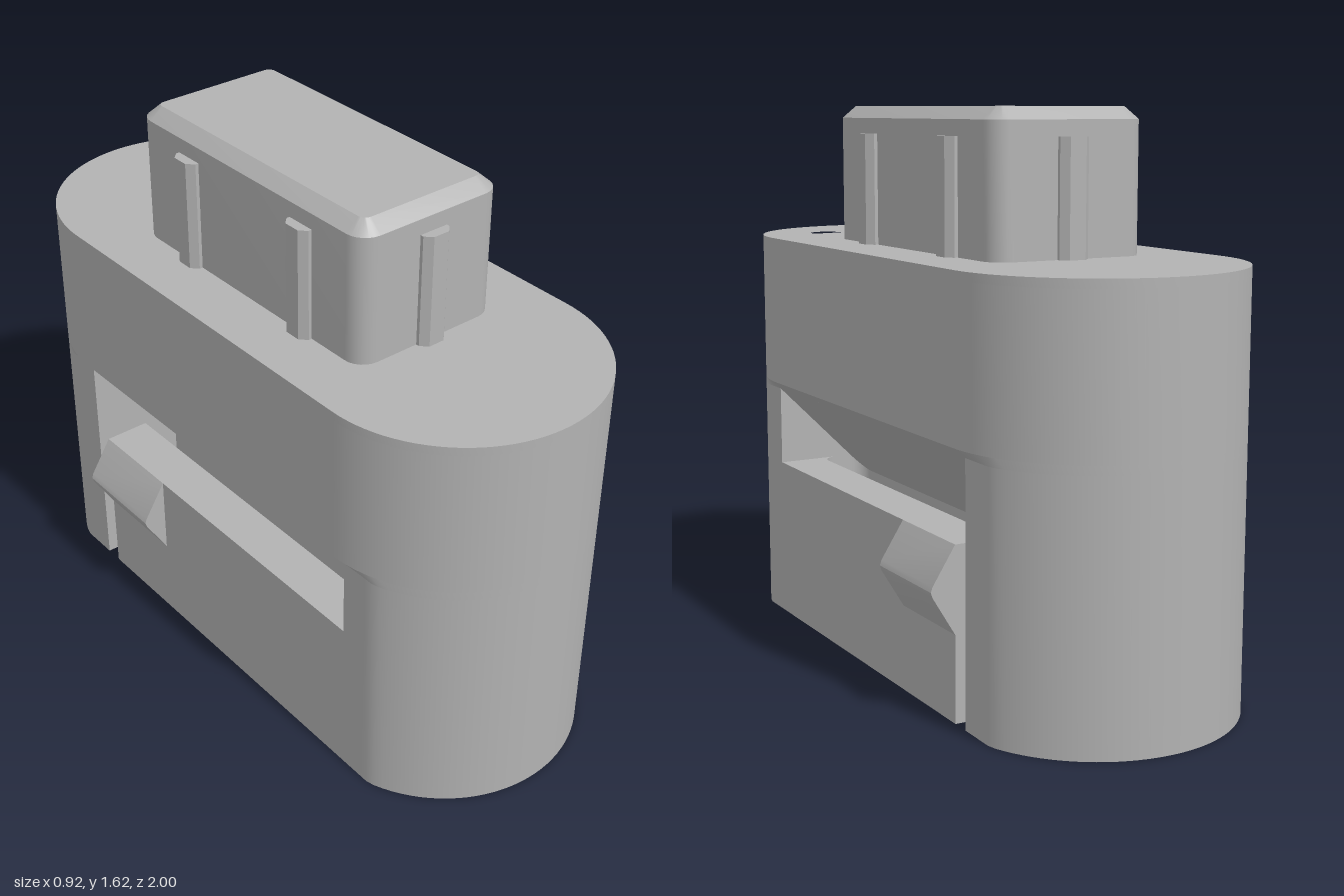
import * as THREE from 'three';
import { toCreasedNormals } from 'three/addons/utils/BufferGeometryUtils.js';

const R = 0.415, C = 0.585;          // end radius and its centre on z
const W = 0.39;                      // half width below the shoulder
const CORE = 0.1, ARM_IN = 0.25;     // core half width, inner face of the arms
const ZF = 0.61, ZB = -0.6;          // ends of the side windows
const SHOULDER = 0.73, LIP = 0.755, TOP = 1.21;

export function createModel() {
  const model = new THREE.Group();
  const grey = new THREE.MeshStandardMaterial({ color: 0xb2b2b2 });
  grey.name = 'grey plastic';

  const add = (name, geometry) => {
    const mesh = new THREE.Mesh(toCreasedNormals(geometry, 0.45), grey);
    mesh.name = name;
    model.add(mesh);
    return mesh;
  };
  // Outline of [x, z] points
  const plan = (pts) => new THREE.Shape(pts.map(([x, z]) => new THREE.Vector2(x, -z)));
  // Plan outline raised from y0 to y1
  const raise = (shape, y0, y1, options = {}) =>
    new THREE.ExtrudeGeometry(shape, { depth: y1 - y0, bevelEnabled: false, curveSegments: 24, ...options })
      .rotateX(-Math.PI / 2).translate(0, y0, 0);
  // Section of [x, y] points swept from z0 to z1, on side s
  const sweep = (pts, s, z0, z1) =>
    new THREE.ExtrudeGeometry(new THREE.Shape(pts.map(([x, y]) => new THREE.Vector2(s * x, y))),
      { depth: z1 - z0, bevelEnabled: false }).translate(0, 0, z0);
  // Half round end, limited to half width w
  const roundEnd = (dir, w) => Array.from({ length: 49 }, (_, i) => {
    const a = (i / 48) * Math.PI;
    return [dir * THREE.MathUtils.clamp(R * Math.cos(a), -w, w), dir * (C + R * Math.sin(a))];
  });
  // Quarter round from angle a0 to a1 (in x, z)
  const fillet = (cx, cz, r, a0, a1) => Array.from({ length: 7 }, (_, i) => {
    const a = a0 + (a1 - a0) * i / 6;
    return [cx + r * Math.cos(a), cz + r * Math.sin(a)];
  });
  const stadium = () => plan([...roundEnd(1, R), ...roundEnd(-1, R)]);

  // Upper housing, with a top layer pierced by three shallow holes
  add('upperHousing', raise(stadium(), LIP, TOP - 0.025));
  const deck = stadium();
  for (const x of [-0.18, 0, 0.18]) {
    deck.holes.push(new THREE.Path().absarc(x, -0.705, 0.05, 0, Math.PI * 2, true));
  }
  add('topDeck', raise(deck, TOP - 0.025, TOP));

  // Shoulder tapering in to the narrower lower body
  const shoulder = raise(stadium(), SHOULDER, LIP);
  const p = shoulder.attributes.position;
  for (let i = 0; i < p.count; i++) {
    if (p.getY(i) < SHOULDER + 0.01) p.setX(i, THREE.MathUtils.clamp(p.getX(i), -W, W));
  }
  add('shoulder', shoulder);

  // Lower body: two rounded ends joined by a thin core
  const f = 0.05, H = Math.PI / 2;
  add('lowerBody', raise(plan([
    ...roundEnd(1, W).filter(([, z]) => z > ZF + 0.002),
    [-W, ZF], ...fillet(-CORE - f, ZF - f, f, H, 0),
    [-CORE, ZB], [-W, ZB],
    ...roundEnd(-1, W).filter(([, z]) => z < ZB - 0.002),
    [W, ZB], [CORE, ZB],
    ...fillet(CORE + f, ZF - f, f, Math.PI, H), [W, ZF],
  ]), 0, SHOULDER));

  for (const s of [1, -1]) {
    const side = s > 0 ? 'left' : 'right';
    // Sloping roof of the side window
    add(side + 'WindowRoof', sweep([[CORE, 0.44], [W, SHOULDER], [CORE, SHOULDER]], s, ZB, ZF));
    // Springy arm, fixed at the front and free at the back
    const arm = [[ARM_IN, -0.545], [W, -0.545], [W, ZF], [ARM_IN - f, ZF],
      ...fillet(ARM_IN - f, ZF - f, f, H, 0)];
    add(side + 'Arm', raise(plan(arm.map(([x, z]) => [s * x, z])), 0, 0.49));
    // Catch on the free end of the arm
    add(side + 'Catch', sweep(
      [[W - 0.02, 0.49], [W, 0.49], [0.457, 0.385], [0.462, 0.37], [0.457, 0.355], [W, 0.245], [W - 0.02, 0.245]],
      s, -0.545, -0.245));
  }

  // Plug with rounded corners and a chamfered top
  const px = 0.24, pz = 0.485, r = 0.06;
  const plug = plan([
    ...fillet(px - r, pz - r, r, 0, H), ...fillet(r - px, pz - r, r, H, 2 * H),
    ...fillet(r - px, r - pz, r, 2 * H, 3 * H), ...fillet(px - r, r - pz, r, 3 * H, 4 * H),
  ]);
  add('plug', raise(plug, 1.15, 1.58, {
    bevelEnabled: true, bevelSize: 0.04, bevelOffset: -0.04, bevelThickness: 0.035, bevelSegments: 1,
  }));

  // Guide ribs around the plug
  const rib = plan([[-0.045, -0.01], [0.045, -0.01], [0.045, 0.01], [0.025, 0.03], [-0.025, 0.03], [-0.045, 0.01]]);
  const ribs = [[0, pz, 0], [0, -pz, Math.PI]];
  for (const z of [-0.245, 0.245]) ribs.push([px, z, H], [-px, z, -H]);
  for (const [x, z, turn] of ribs) {
    const mesh = add('guideRib', raise(rib, TOP - 0.01, 1.535));
    mesh.position.set(x, 0, z);
    mesh.rotation.y = turn;
  }
  return model;
}
